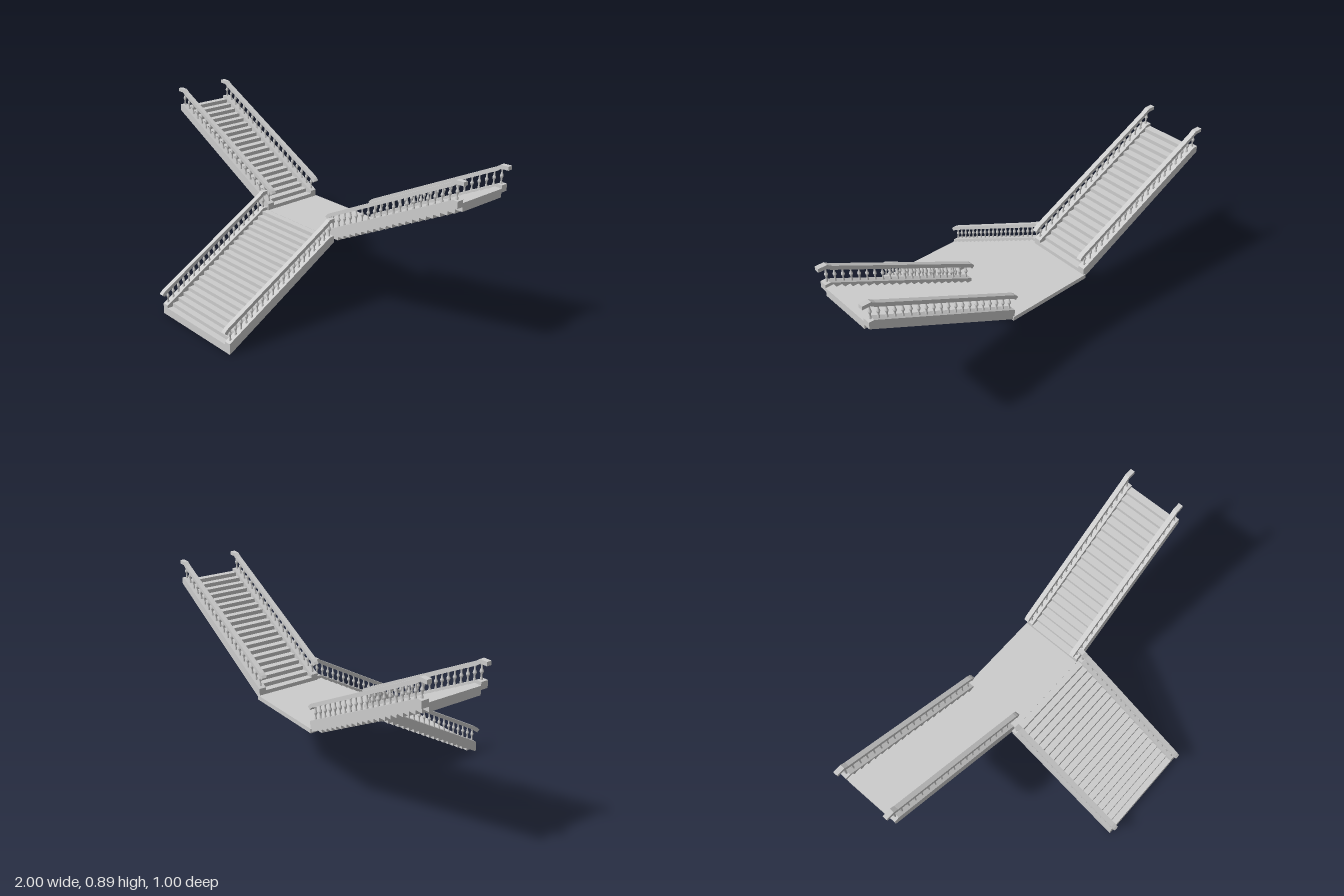
import * as THREE from 'three';

const mat = new THREE.MeshStandardMaterial({ color: 0xcccccc });
const STEPS = 20, TREAD = 0.04, STRINGER = 0.035;

function mesh(geometry, name) {
  const m = new THREE.Mesh(geometry, mat);
  m.name = name;
  return m;
}

// Side profile (along, up) extruded across the flight, centred on z = 0
function slab(points, depth) {
  const shape = new THREE.Shape(points.map(([x, y]) => new THREE.Vector2(x, y)));
  return new THREE.ExtrudeGeometry(shape, { depth, bevelEnabled: false }).translate(0, 0, -depth / 2);
}

// Outline of a band of even thickness around a centre path
function band(path, half) {
  const top = [], bottom = [];
  path.forEach(([x, y], i) => {
    const a = path[Math.max(i - 1, 0)], b = path[Math.min(i + 1, path.length - 1)];
    const dx = b[0] - a[0], dy = b[1] - a[1], d = Math.hypot(dx, dy);
    top.push([x - dy / d * half, y + dx / d * half]);
    bottom.unshift([x + dy / d * half, y - dx / d * half]);
  });
  return top.concat(bottom);
}

// Turned baluster, unit height
const balusterGeometry = new THREE.LatheGeometry([
  [0.0055, 0], [0.0055, 0.16], [0.0035, 0.2], [0.004, 0.34], [0.008, 0.47],
  [0.008, 0.53], [0.004, 0.66], [0.0035, 0.82], [0.0055, 0.86], [0.0055, 1],
].map(([r, y]) => new THREE.Vector2(r, y)), 8);

// A straight flight climbing along +x from the origin
function flight(name, run, height, width, railEnd) {
  const g = new THREE.Group();
  g.name = name;
  const going = run / STEPS, rise = (height - TREAD) / (STEPS - 1);

  // Overlapping solid steps
  for (let i = 0; i < STEPS; i++) {
    const step = mesh(new THREE.BoxGeometry(going, TREAD, width), 'step');
    step.position.set((i + 0.5) * going, i * rise + TREAD / 2, 0);
    g.add(step);
  }

  const bend = run - 0.025, topY = height + 0.015;
  const slope = (topY - 0.055) / bend;
  const stringer = slab([[0, 0], [run, height - 0.018], [run, topY], [bend, topY], [0, 0.055]], STRINGER);

  // Handrail turns down at the foot and levels out at the head
  const railY = (x) => 0.126 + slope * x;
  const rail = slab(band([
    [-0.016, 0.109], [-0.008, 0.119], [0.004, railY(0.004)],
    [bend - 0.015, railY(bend - 0.015)], [bend + 0.005, height + 0.093], [railEnd, height + 0.094],
  ], 0.009), 0.024);

  for (const side of [-1, 1]) {
    const balustrade = new THREE.Group();
    balustrade.name = 'balustrade';
    balustrade.position.z = side * (width + STRINGER) / 2;
    balustrade.add(mesh(stringer, 'stringer'), mesh(rail, 'handrail'));
    for (let i = 0; i < STEPS; i++) {
      const x = (i + 0.5) * going;
      const base = Math.min(0.055 + slope * x, topY) - 0.004;
      const b = mesh(balusterGeometry, 'baluster');
      b.position.set(x, base, 0);
      b.scale.y = Math.min(railY(x), height + 0.093) - base;
      balustrade.add(b);
    }
    g.add(balustrade);
  }
  return g;
}

export function createModel() {
  const model = new THREE.Group();
  model.name = 'splitStaircase';

  // Wide lower flight climbing toward the back
  const lower = flight('lowerFlight', 0.64, 0.395, 0.46, 0.645);
  lower.rotation.y = Math.PI / 2;
  lower.position.z = 0.475;
  model.add(lower);

  // Landing
  const landing = mesh(new THREE.BoxGeometry(0.46, 0.022, 0.335), 'landing');
  landing.position.set(0, 0.385, -0.3325);
  model.add(landing);

  // Two narrower upper flights, left and right
  for (const side of [1, -1]) {
    const upper = flight(side > 0 ? 'leftUpperFlight' : 'rightUpperFlight', 0.76, 0.41, 0.26, 0.78);
    if (side < 0) upper.rotation.y = Math.PI;
    upper.position.set(side * 0.22, 0.375, -0.33);
    model.add(upper);
  }
  return model;
}
